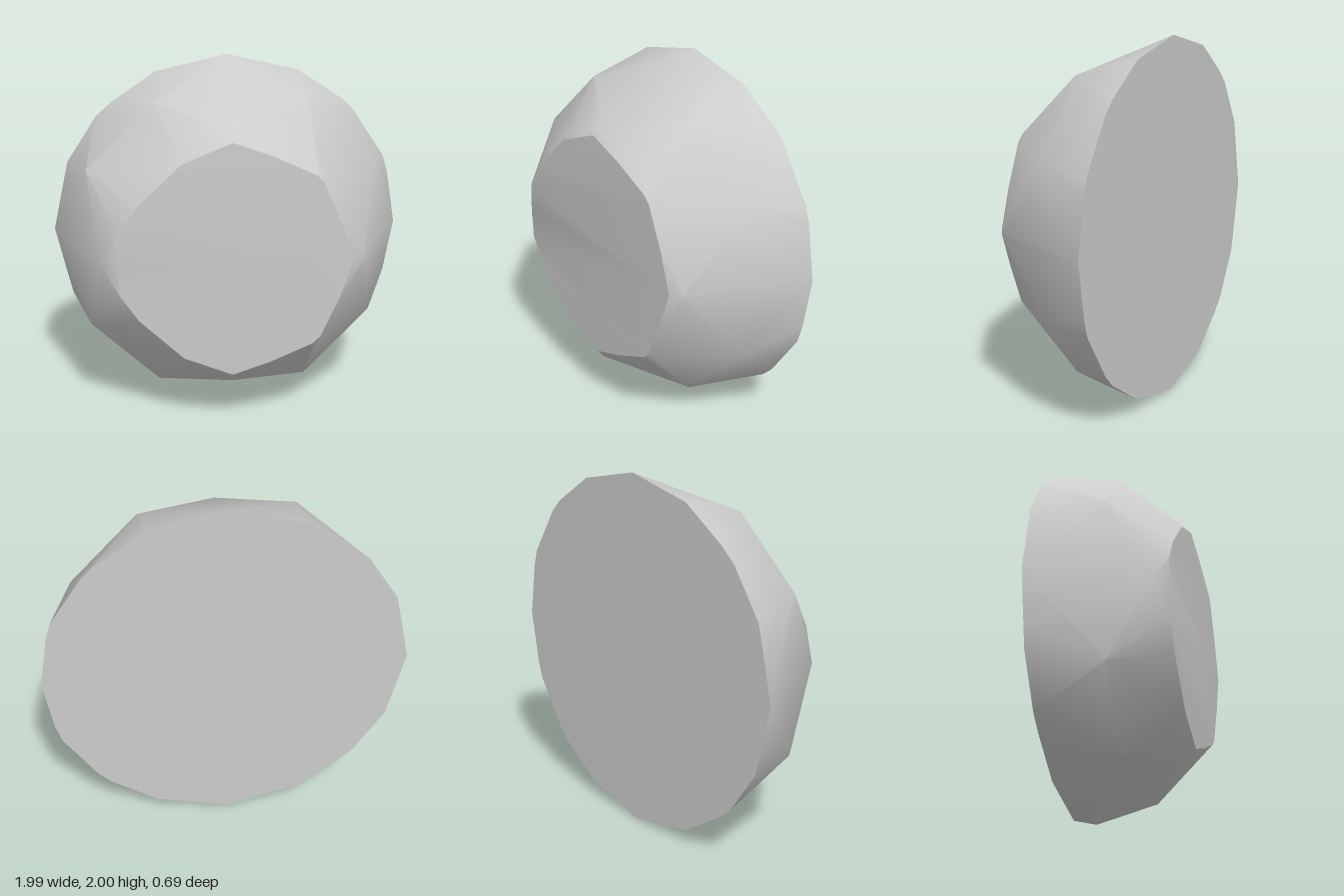
import * as THREE from 'three';
import { toCreasedNormals } from 'three/addons/utils/BufferGeometryUtils.js';
import { ConvexGeometry } from 'three/addons/geometries/ConvexGeometry.js';

// Corners of the upper half, from +x round to -x: [x, height above the axis, z]

// Both ends lean slightly towards the front on the -x half
const backZ = x => -0.35 + 0.04 * Math.max(0, -x);
const faceZ = x => 0.325 + 0.03 * Math.max(0, -x);

// Wide rim of the back face
const RIM = [[0.99, 0], [0.94, 0.3], [0.91, 0.4], [0.73, 0.67], [0.66, 0.74], [0.4, 0.91], [0, 1],
  [-0.4, 0.91], [-0.65, 0.74], [-0.74, 0.66], [-0.91, 0.4], [-0.94, 0.27], [-1, 0]]
  .map(([x, y]) => [x, y, backZ(x)]);

// Bulging shoulders halfway along the diagonals
const SHOULDERS = [[0.8, 0.43, -0.03], [0.43, 0.81, 0], [-0.41, 0.81, 0.03], [-0.785, 0.45, 0.06]];

// Edge of the front face
const FACE = [[0.65, 0], [0.58, 0.21], [0.48, 0.44], [0.44, 0.48], [0.21, 0.585], [0, 0.66],
  [-0.27, 0.55], [-0.51, 0.32], [-0.61, 0.17], [-0.62, 0]]
  .map(([x, y]) => [x, y, faceZ(x)]);

// Points of the small bevels around the front face
const TIPS = [[0.715, 0, 0.28], [0, 0.715, 0.28], [-0.72, 0, 0.28]];

export function createModel() {
  const group = new THREE.Group();
  group.name = 'taperedBlock';
  const grey = new THREE.MeshStandardMaterial({ color: 0xcccccc });
  grey.name = 'light grey';

  // Mirror the corners below the axis and wrap them in one faceted skin
  const upper = [...RIM, ...SHOULDERS, ...FACE, ...TIPS];
  const lower = upper.filter(([, y]) => y > 0).map(([x, y, z]) => [x, -y, z]);
  const corners = [...upper, ...lower].map(p => new THREE.Vector3(...p));
  const block = new THREE.Mesh(toCreasedNormals(new ConvexGeometry(corners), 0.6), grey);
  block.name = 'block';
  block.position.y = 1;
  group.add(block);
  return group;
}
